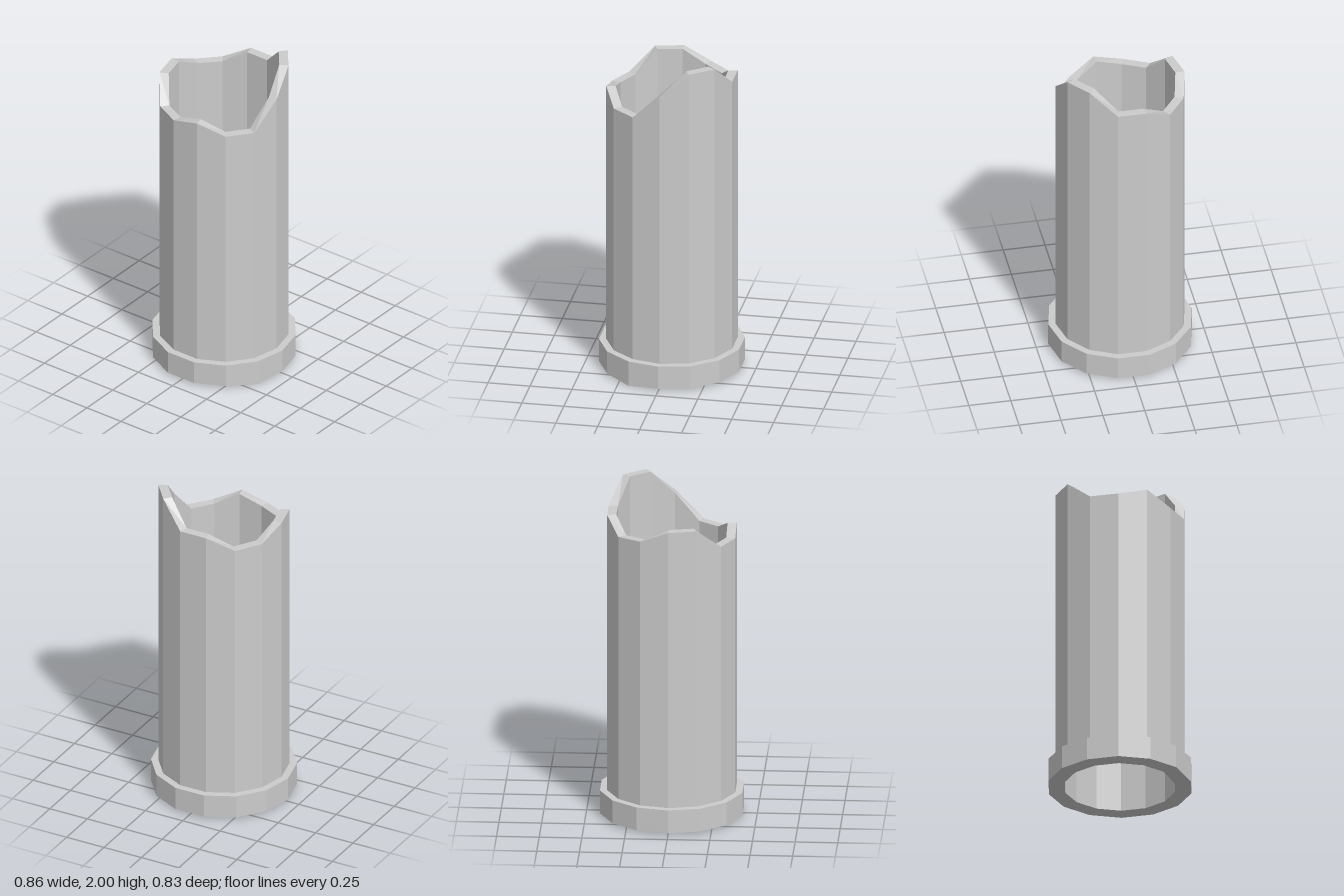
import * as THREE from 'three';

const SIDES = 14;
const material = new THREE.MeshStandardMaterial({ color: 0xcccccc, flatShading: true });

// Faceted hollow ring; bottom(i) and top(i) give the heights at each corner.
// Corner 0 is at +x and the corners run towards +z.
function hollowRing(name, outer, inner, bottom, top) {
  const section = (k) => {
    const i = k % SIDES;
    const a = (i / SIDES) * Math.PI * 2;
    const at = (r, y) => [r * Math.cos(a), y, r * Math.sin(a)];
    return [at(outer, bottom(i)), at(outer, top(i)), at(inner, top(i)), at(inner, bottom(i))];
  };
  const positions = [];
  for (let i = 0; i < SIDES; i++) {
    const s = section(i), n = section(i + 1);
    for (let j = 0; j < 4; j++) {
      const k = (j + 1) % 4;
      for (const p of [n[j], s[j], s[k], n[j], s[k], n[k]]) positions.push(...p);
    }
  }
  const geometry = new THREE.BufferGeometry();
  geometry.setAttribute('position', new THREE.Float32BufferAttribute(positions, 3));
  geometry.computeVertexNormals();
  const mesh = new THREE.Mesh(geometry, material);
  mesh.name = name;
  return mesh;
}

export function createModel() {
  const group = new THREE.Group();
  group.name = 'brokenPipe';

  const collarTop = 0.155;
  // Jagged rim heights around the broken end
  const rim = [1.86, 1.70, 1.70, 1.77, 1.73, 1.73, 1.86, 1.86, 1.79, 1.78, 1.86, 1.86, 2, 2];

  // Collar at the foot, with one slightly sagging corner
  group.add(hollowRing('collar', 0.428, 0.33, (i) => (i === 1 ? 0 : 0.014), () => collarTop));

  // Pipe wall rising from the collar to the broken rim
  group.add(hollowRing('pipe', 0.385, 0.33, () => collarTop, (i) => rim[i]));

  return group;
}
